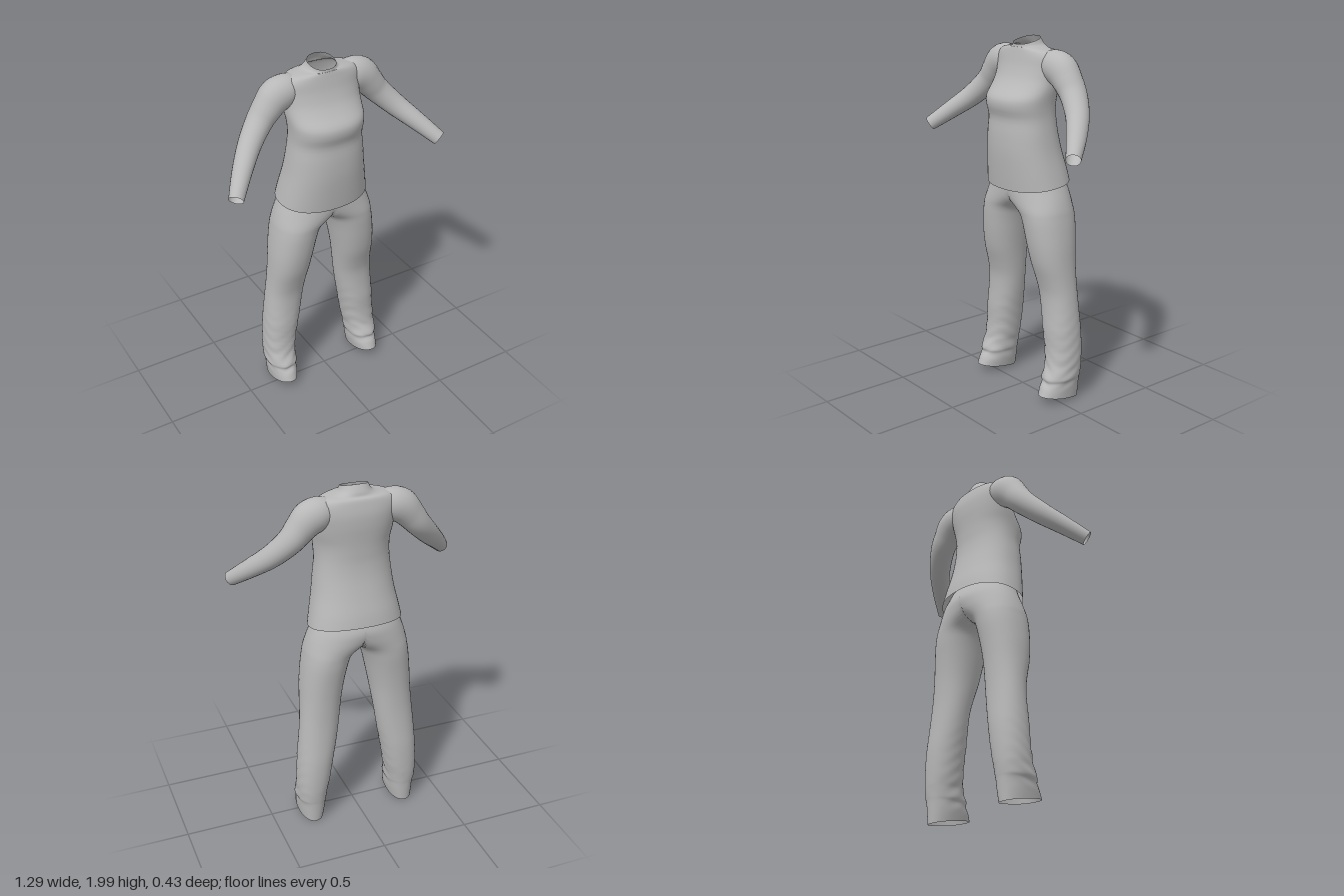
import * as THREE from 'three';

const cloth = new THREE.MeshStandardMaterial({ color: 0xb8b8b8, side: THREE.DoubleSide });
cloth.name = 'grey cloth';

// Smoothly subdivides a table of cross-section rows (Catmull-Rom on every column)
function refine(rows, steps) {
  const out = [];
  const at = (i) => rows[Math.min(Math.max(i, 0), rows.length - 1)];
  for (let i = 0; i < rows.length - 1; i++) {
    for (let s = 0; s < steps; s++) {
      const t = s / steps;
      out.push(rows[i].map((b, k) => {
        const a = at(i - 1)[k], c = at(i + 1)[k], d = at(i + 2)[k];
        return b + 0.5 * t * (c - a + t * (2 * a - 5 * b + 4 * c - d + t * (3 * (b - c) + d - a)));
      }));
    }
  }
  out.push(rows[rows.length - 1]);
  return out;
}

// Skins rings of points into an open tube; side = -1 mirrors it across x.
// Faces lying in the x = 0 plane are left out so that two halves can meet there.
function loft(name, rings, side = 1) {
  const n = rings[0].length, pos = [], idx = [];
  rings.forEach((r) => r.forEach((p) => pos.push(p.x * side, p.y, p.z)));
  const tri = (a, b, c) => {
    if ([a, b, c].every((i) => Math.abs(pos[i * 3]) < 1e-5)) return;
    idx.push(a, ...(side > 0 ? [b, c] : [c, b]));
  };
  for (let i = 0; i < rings.length - 1; i++) {
    for (let j = 0; j < n; j++) {
      const a = i * n + j, b = i * n + (j + 1) % n;
      tri(a, a + n, b);
      tri(b, a + n, b + n);
    }
  }
  const g = new THREE.BufferGeometry();
  g.setAttribute('position', new THREE.Float32BufferAttribute(pos, 3));
  g.setIndex(idx);
  g.computeVertexNormals();
  // Level the normals along the centre seam
  const nor = g.attributes.normal;
  for (let i = 0; i < nor.count; i++) {
    if (Math.abs(pos[i * 3]) < 1e-5) nor.setX(i, 0);
  }
  g.normalizeNormals();
  const mesh = new THREE.Mesh(g, cloth);
  mesh.name = name;
  return mesh;
}

// Horizontal rounded ring; tilt raises the front and lowers the back
function ring([y, x0, x1, zf, zb, tilt], n, power, wrinkle = () => 1) {
  const pts = [];
  for (let j = 0; j < n; j++) {
    const a = (j / n) * Math.PI * 2, c = Math.cos(a), s = Math.sin(a);
    const k = wrinkle(y, a);
    const cx = Math.abs(c) < 1e-6 ? 0 : Math.sign(c) * Math.abs(c) ** power;
    const sz = Math.sign(s) * Math.abs(s) ** power;
    pts.push(new THREE.Vector3(
      (x0 + x1) / 2 + cx * k * (x1 - x0) / 2,
      y + tilt * s,
      (zf + zb) / 2 + sz * k * (zf - zb) / 2));
  }
  return pts;
}

// Shirt body: y, half width, front z, back z, tilt
function shirtBody() {
  const rows = [
    [1.223, 0.26, 0.14, -0.215, -0.028],
    [1.3, 0.245, 0.15, -0.203, -0.015],
    [1.4, 0.225, 0.16, -0.18, 0],
    [1.5, 0.212, 0.16, -0.157, 0],
    [1.58, 0.203, 0.155, -0.147, 0],
    [1.64, 0.203, 0.172, -0.147, 0],
    [1.69, 0.207, 0.168, -0.149, 0],
    [1.74, 0.212, 0.125, -0.153, 0],
    [1.79, 0.215, 0.09, -0.157, 0],
    [1.85, 0.222, 0.066, -0.157, 0],
    [1.9, 0.222, 0.054, -0.148, 0],
    [1.932, 0.19, 0.047, -0.138, 0],
    [1.945, 0.13, 0.043, -0.122, 0.003],
    [1.956, 0.088, 0.042, -0.115, -0.008],
    [1.981, 0.073, 0.04, -0.095, -0.019],
  ];
  return loft('shirtBody', refine(rows, 3).map(([y, w, f, b, t]) => ring([y, -w, w, f, b, t], 48, 0.88)));
}

// Sleeve: centre x, y, z, radius across z, radius across the arm
function sleeve(side) {
  const rows = refine([
    [0.13, 1.855, -0.05, 0.06, 0.07],
    [0.19, 1.86, -0.053, 0.08, 0.086],
    [0.25, 1.84, -0.055, 0.083, 0.092],
    [0.3, 1.79, -0.053, 0.078, 0.08],
    [0.355, 1.725, -0.045, 0.072, 0.069],
    [0.44, 1.637, 0.005, 0.062, 0.06],
    [0.53, 1.55, 0.092, 0.052, 0.05],
    [0.612, 1.467, 0.185, 0.038, 0.04],
  ], 4);
  const centre = rows.map((r) => new THREE.Vector3(r[0], r[1], r[2]));
  const rings = rows.map((r, i) => {
    const t = centre[Math.min(i + 1, rows.length - 1)].clone().sub(centre[Math.max(i - 1, 0)]).normalize();
    const u = new THREE.Vector3(0, 0, 1).addScaledVector(t, -t.z).normalize();
    const v = u.clone().cross(t);
    return Array.from({ length: 24 }, (_, j) => {
      const a = (j / 24) * Math.PI * 2;
      return centre[i].clone().addScaledVector(u, r[3] * Math.cos(a)).addScaledVector(v, r[4] * Math.sin(a));
    });
  });
  return loft(side > 0 ? 'leftSleeve' : 'rightSleeve', rings, side);
}

// Trouser half: y, inner x, outer x, front z, back z, tilt
function trouserLeg(side) {
  const rows = [
    [0.036, 0.208, 0.348, 0.103, -0.153, 0.024],
    [0.09, 0.198, 0.353, 0.085, -0.158, 0.012],
    [0.13, 0.196, 0.354, 0.065, -0.162, 0],
    [0.155, 0.188, 0.364, 0.068, -0.165, 0],
    [0.2, 0.187, 0.362, 0.045, -0.17, 0],
    [0.24, 0.178, 0.363, 0.035, -0.173, 0],
    [0.32, 0.165, 0.36, 0.028, -0.176, 0],
    [0.42, 0.148, 0.354, 0.03, -0.176, 0],
    [0.52, 0.13, 0.345, 0.026, -0.17, 0],
    [0.62, 0.115, 0.335, 0.028, -0.165, 0],
    [0.7, 0.104, 0.328, 0.045, -0.164, 0],
    [0.8, 0.09, 0.322, 0.075, -0.167, 0],
    [0.9, 0.072, 0.316, 0.094, -0.175, 0],
    [1.0, 0.05, 0.305, 0.105, -0.186, 0],
    [1.06, 0.025, 0.296, 0.109, -0.19, 0],
    [1.1, -0.03, 0.289, 0.112, -0.193, 0],
    [1.16, -0.15, 0.272, 0.113, -0.2, 0],
    [1.22, -0.25, 0.25, 0.113, -0.2, 0],
    [1.3, -0.22, 0.22, 0.1, -0.165, 0],
  ];
  // Gentle creases below the knee, strongest at the front
  const crease = (y, a) => {
    const fade = THREE.MathUtils.smoothstep(y, 0.05, 0.14) * (1 - THREE.MathUtils.smoothstep(y, 0.3, 0.62));
    return 1 + 0.025 * fade * (0.55 + 0.45 * Math.sin(a)) * Math.sin(y * 85 + 4 * Math.sin(a * 2));
  };
  const rings = refine(rows, 4).map((r) => ring(r, 40, 0.92, crease));
  // Everything past the centre line folds onto the seam
  rings.forEach((r) => r.forEach((p) => { p.x = Math.max(0, p.x); }));
  return loft(side > 0 ? 'leftTrouserLeg' : 'rightTrouserLeg', rings, side);
}

export function createModel() {
  const shirt = new THREE.Group();
  shirt.name = 'shirt';
  const trousers = new THREE.Group();
  trousers.name = 'trousers';
  shirt.add(shirtBody());
  for (const side of [1, -1]) {
    shirt.add(sleeve(side));
    trousers.add(trouserLeg(side));
  }
  const model = new THREE.Group();
  model.name = 'outfit';
  model.add(shirt, trousers);
  return model;
}
